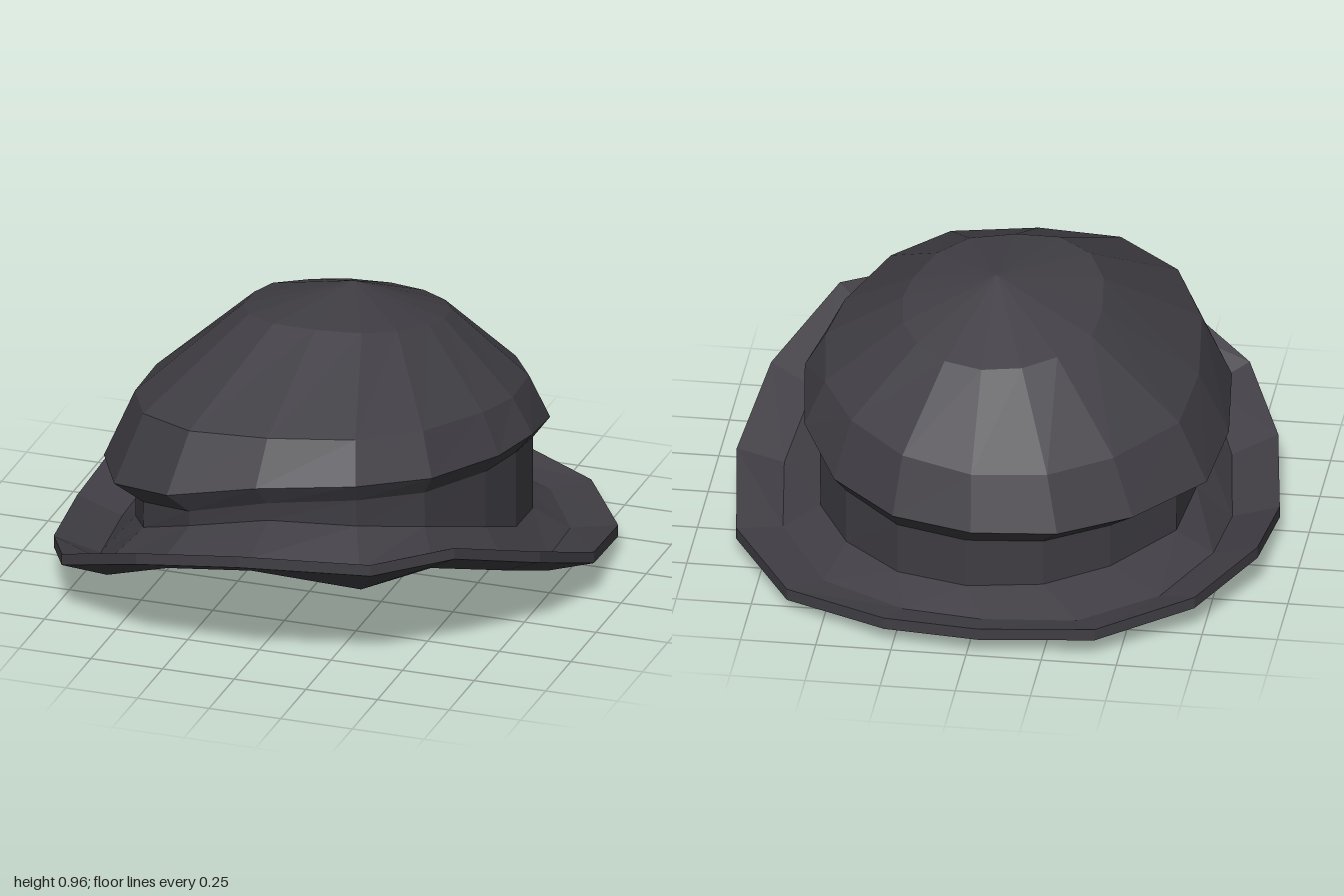
import * as THREE from 'three';

// Every ring has 16 points [x, y, z], starting at the front and going towards +x.
const rimEdge = [
  [0.01, 0.44, 0.99], [0.43, 0.42, 0.87], [0.66, 0.44, 0.69], [0.84, 0.31, 0.35],
  [0.905, 0.17, 0], [0.85, 0.09, -0.4], [0.63, 0.07, -0.76], [0.28, 0.09, -0.95],
  [-0.04, 0.1, -1], [-0.42, 0.1, -0.95], [-0.72, 0.12, -0.72], [-0.885, 0.15, -0.4],
  [-0.905, 0.1, -0.02], [-0.84, 0.14, 0.4], [-0.7, 0.23, 0.72], [-0.36, 0.38, 0.95],
];
const crownLip = [
  [-0.02, 0.57, 0.73], [0.3, 0.59, 0.65], [0.5, 0.57, 0.46], [0.63, 0.545, 0.16],
  [0.67, 0.535, -0.06], [0.63, 0.47, -0.35], [0.5, 0.39, -0.57], [0.28, 0.365, -0.75],
  [0.01, 0.36, -0.82], [-0.27, 0.35, -0.77], [-0.5, 0.35, -0.62], [-0.71, 0.36, -0.36],
  [-0.74, 0.385, -0.05], [-0.7, 0.41, 0.3], [-0.57, 0.44, 0.57], [-0.33, 0.5, 0.73],
];
// Heights of the brim's underside and of the foot of the crown wall
const underY = [0.33, 0.27, 0.31, 0.2, 0.08, 0.03, 0.01, 0.015, 0.02, 0.015, 0.02, 0.04, 0, 0.03, 0.13, 0.28];
const footY = [0.44, 0.43, 0.38, 0.28, 0.2, 0.15, 0.13, 0.12, 0.12, 0.12, 0.13, 0.15, 0.16, 0.2, 0.28, 0.38];

const derive = (ring, rule) => ring.map(([x, y, z], i) => rule(x, y, z, i));

// Joins rings, listed from the bottom up, with flat quads
function skin(name, rings, material) {
  const pos = [];
  for (let k = 0; k < rings.length - 1; k++) {
    const a = rings[k], b = rings[k + 1];
    for (let i = 0; i < a.length; i++) {
      const j = (i + 1) % a.length;
      pos.push(...a[i], ...a[j], ...b[j], ...a[i], ...b[j], ...b[i]);
    }
  }
  const geometry = new THREE.BufferGeometry();
  geometry.setAttribute('position', new THREE.Float32BufferAttribute(pos, 3));
  geometry.computeVertexNormals();
  const mesh = new THREE.Mesh(geometry, material);
  mesh.name = name;
  return mesh;
}

export function createModel() {
  const felt = new THREE.MeshStandardMaterial({ color: 0x403e44, flatShading: true, side: THREE.DoubleSide });
  felt.name = 'charcoal felt';

  // Brim rings: the outer edge curls up above a shallow groove
  const rimBottom = derive(rimEdge, (x, y, z) => [x, y - 0.04, z]);
  const underside = derive(rimEdge, (x, y, z, i) => [x * 0.825, underY[i], z * 0.86]);
  const groove = derive(rimEdge, (x, y, z, i) => [x * 0.825, Math.max(underY[i], y - 0.12) + 0.05, z * 0.875]);

  // Crown rings: tilted up at the front, narrowing to an apex
  const foot = derive(crownLip, (x, y, z, i) => [0.885 * x + 0.025, footY[i], 0.92 * z + 0.01]);
  const wallTop = derive(crownLip, (x, y, z) => [0.885 * x + 0.025, y - 0.065, 0.93 * z + 0.01]);
  const shoulder = derive(crownLip, (x, y, z) => {
    const sx = 0.88 * x + 0.01, sz = 0.9 * z - 0.01;
    return [sx, 0.635 + 0.05 * sx + 0.13 * sz, sz];
  });
  const cap = derive(crownLip, (x, y, z) => {
    const cz = 0.46 * z - 0.125;
    return [0.47 * x + 0.015, 0.89 + 0.18 * cz, cz];
  });
  const apex = derive(crownLip, () => [0.02, 0.96, -0.14]);

  // Hollow inside, a little smaller than the crown
  const inset = (ring, s, drop) => derive(ring, (x, y, z) => [x * s, y - drop, z * s]);
  const lining = [
    inset(apex, 1, 0.06), inset(cap, 0.92, 0.06), inset(shoulder, 0.92, 0.05),
    inset(wallTop, 0.96, 0), inset(foot, 0.97, 0.03), underside,
  ];

  const hat = new THREE.Group();
  hat.name = 'hat';
  hat.add(
    skin('brim', [underside, rimBottom, rimEdge, groove, foot], felt),
    skin('crownBand', [foot, wallTop], felt),
    skin('crown', [wallTop, crownLip, shoulder, cap, apex], felt),
    skin('lining', lining, felt),
  );
  return hat;
}
